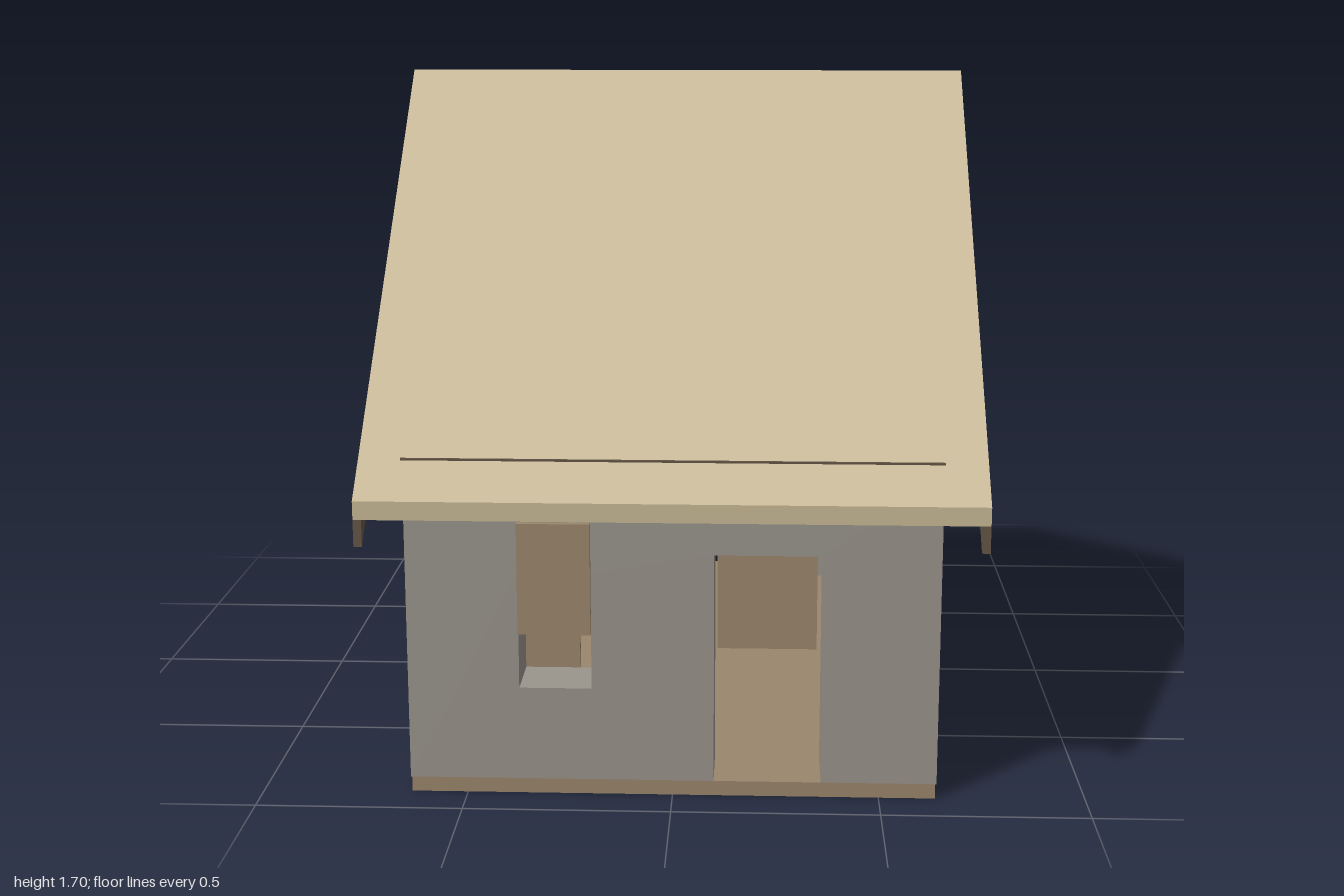
import * as THREE from 'three';

const mat = (name, color) => {
  const m = new THREE.MeshStandardMaterial({ color });
  m.name = name;
  return m;
};

export function createModel() {
  const house = new THREE.Group();
  house.name = 'house';

  const plaster = mat('grey plaster', 0x9a948c);
  const gableWhite = mat('pale gable', 0xdcdbd6);
  const thatch = mat('tan roof', 0xc8b896);
  const wood = mat('brown wood', 0x9b866c);
  const darkWood = mat('dark wood', 0x655546);

  const W = 0.64, D = 0.9, T = 0.145; // half width, half depth, wall thickness
  const floorTop = 0.037, wallTop = 0.806;

  const add = (name, geometry, material) => {
    const mesh = new THREE.Mesh(geometry, material);
    mesh.name = name;
    house.add(mesh);
    return mesh;
  };
  // Box given by its minimum and maximum corners
  const box = (name, a, b, material) => {
    const g = new THREE.BoxGeometry(b[0] - a[0], b[1] - a[1], b[2] - a[2]);
    g.translate((a[0] + b[0]) / 2, (a[1] + b[1]) / 2, (a[2] + b[2]) / 2);
    return add(name, g, material);
  };
  const shapeOf = (pts) => new THREE.Shape(pts.map(([x, y]) => new THREE.Vector2(x, y)));
  // Profile in (z, y), symmetric about z = 0, extruded along x from x0 to x1
  const alongX = (name, pts, x0, x1, material) => {
    const g = new THREE.ExtrudeGeometry(shapeOf(pts), { depth: x1 - x0, bevelEnabled: false });
    g.rotateY(Math.PI / 2);
    g.translate(x0, 0, 0);
    return add(name, g, material);
  };
  // Wall facing z with a doorway cut up from its foot and an optional window
  const doorWall = (name, doorL, doorR, z0, window) => {
    const shape = shapeOf([
      [-W, floorTop], [doorL, floorTop], [doorL, 0.608], [doorR, 0.608],
      [doorR, floorTop], [W, floorTop], [W, wallTop], [-W, wallTop],
    ]);
    if (window) {
      const [l, r, b, t] = window;
      shape.holes.push(new THREE.Path([[l, b], [l, t], [r, t], [r, b]].map((p) => new THREE.Vector2(...p))));
    }
    const g = new THREE.ExtrudeGeometry(shape, { depth: T, bevelEnabled: false });
    g.translate(0, 0, z0);
    return add(name, g, plaster);
  };

  // Floor slab
  box('floorSlab', [-0.637, 0, -D], [0.637, floorTop, D], wood);

  // Walls
  doorWall('frontWall', 0.1, 0.36, D - T, [-0.37, -0.195, 0.27, 0.56]);
  doorWall('backWall', -0.135, 0.126, -D);
  for (const s of [-1, 1]) {
    const x0 = s > 0 ? W - T : -W;
    const side = s > 0 ? 'left' : 'right';
    box(side + 'Wall', [x0, floorTop, T - D], [x0 + T, wallTop, D - T], plaster);
    // Gable triangle above the side wall
    alongX(side + 'Gable', [[D, wallTop], [0, 1.645], [-D, wallTop]], x0, x0 + T, gableWhite);
  }

  // Upper door leaves on the inner side of the doorways
  box('frontDoorLeaf', [0.105, 0.325, D - T - 0.015], [0.35, 0.605, D - T], wood);
  box('backDoorLeaf', [-0.125, 0.325, T - D], [0.12, 0.605, T - D + 0.015], wood);

  // Window shutters outside and inside
  box('outerShutter', [-0.37, 0.41, D], [-0.195, 0.685, D + 0.015], wood);
  box('innerShutter', [-0.37, 0.27, D - T - 0.015], [-0.235, 0.56, D - T], wood);

  // Roof slab and the boards under both of its ends
  alongX('roof', [[1, 0.76], [0, 1.7], [-1, 0.76], [-1, 0.715], [0, 1.65], [1, 0.715]], -0.74, 0.74, thatch);
  for (const x of [-0.74, 0.72]) {
    alongX('bargeBoard', [[1, 0.715], [0, 1.65], [-1, 0.715], [-1, 0.65], [0, 1.59], [1, 0.65]], x, x + 0.02, darkWood);
  }

  // Thin batten breaking through the front slope
  box('eaveBatten', [-W, 0.79, 0.909], [W, 0.843, 0.917], darkWood);

  return house;
}
